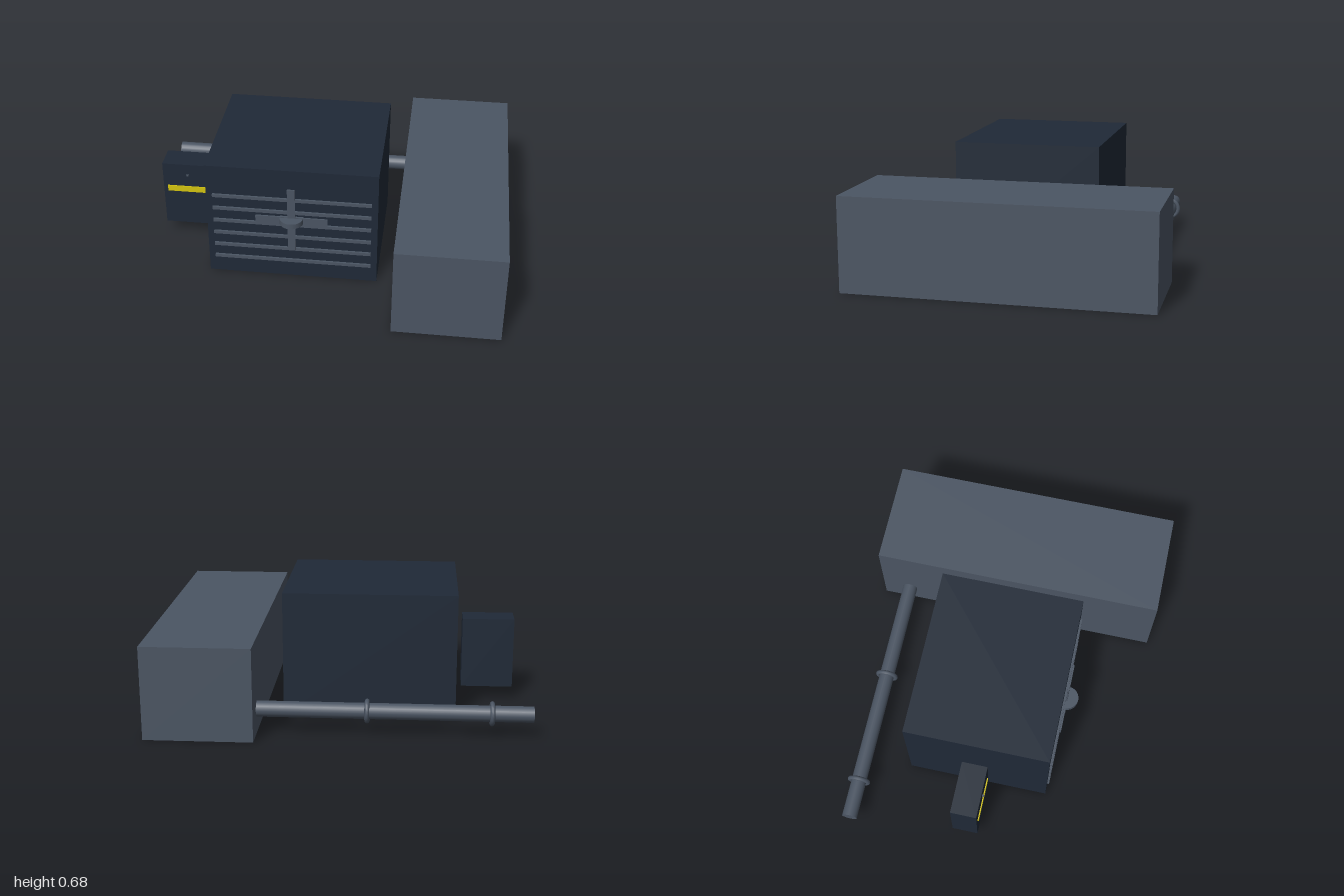
import * as THREE from 'three';

const mat = (name, color) => new THREE.MeshStandardMaterial({ name, color });

export function createModel() {
  const dark = mat('dark casing', 0x1f2937);
  const grey = mat('grey metal', 0x4b5563);
  const yellow = mat('warning yellow', 0xd4c40f);

  const model = new THREE.Group();
  model.name = 'ventilationUnit';

  const add = (name, geometry, material, x, y, z) => {
    const mesh = new THREE.Mesh(geometry, material);
    mesh.name = name;
    mesh.position.set(x, y, z);
    model.add(mesh);
    return mesh;
  };
  // Box given by its limits on each axis
  const box = (name, material, [x0, x1], [y0, y1], [z0, z1]) =>
    add(name, new THREE.BoxGeometry(x1 - x0, y1 - y0, z1 - z0), material,
      (x0 + x1) / 2, (y0 + y1) / 2, (z0 + z1) / 2);

  // Main housing and the long duct beside it
  const cx = -0.145;
  box('housing', dark, [-0.608, 0.318], [0, 0.68], [-0.395, 0.392]);
  box('duct', grey, [0.428, 1], [0, 0.5], [-0.805, 0.803]);

  // Grille slats on the housing front
  for (let i = 0; i < 6; i++) {
    const y = 0.105 + i * 0.079;
    box('grilleSlat', grey, [-0.573, 0.284], [y - 0.009, y + 0.009], [0.387, 0.403]);
  }

  // Fan: two crossed blades and a disc hub lying flat
  box('fanBladeVertical', grey, [cx - 0.021, cx + 0.021], [0.185, 0.573], [0.404, 0.412]);
  box('fanBladeHorizontal', grey, [cx - 0.195, cx + 0.195], [0.357, 0.399], [0.404, 0.412]);
  add('fanHub', new THREE.CylinderGeometry(0.064, 0.064, 0.03, 24), grey, cx, 0.379, 0.406);

  // Control box with stripe and a tiny knob
  box('controlBox', dark, [-0.929, -0.645], [0.075, 0.466], [-0.074, 0.068]);
  box('warningStripe', yellow, [-0.905, -0.669], [0.29, 0.325], [0.068, 0.074]);
  add('knob', new THREE.CylinderGeometry(0.008, 0.008, 0.008, 12), grey, -0.787, 0.4, 0.07);

  // Rear pipe running into the duct, with ring collars
  const pipe = add('pipe', new THREE.CylinderGeometry(0.042, 0.042, 1.5, 20), grey, -0.25, 0.127, -0.647);
  pipe.rotation.z = Math.PI / 2;
  for (const x of [-0.787, cx]) {
    const ring = add('pipeCollar', new THREE.TorusGeometry(0.052, 0.0128, 8, 24), grey, x, 0.127, -0.647);
    ring.rotation.y = Math.PI / 2;
  }

  return model;
}
